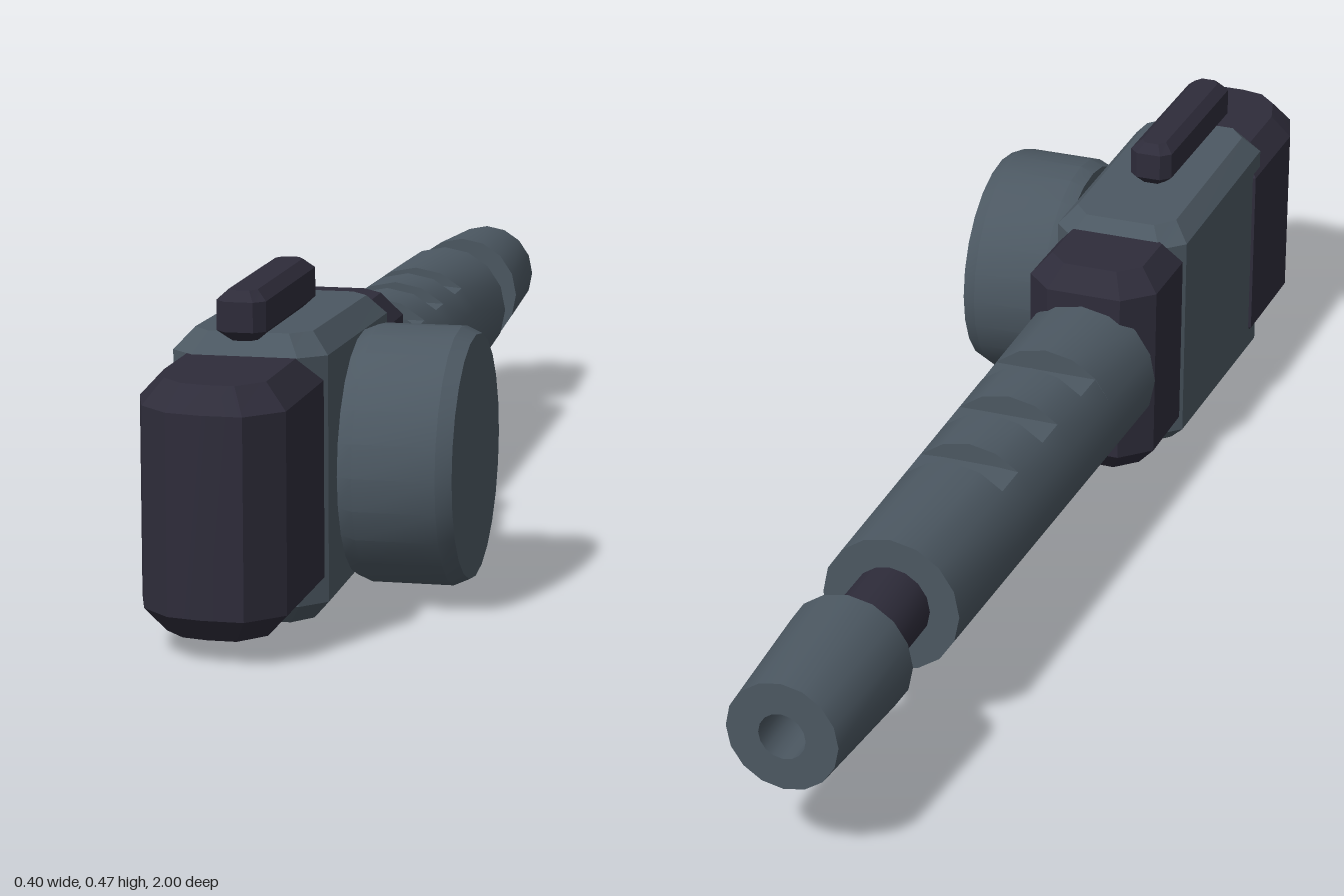
import * as THREE from 'three';
import { toCreasedNormals } from 'three/addons/utils/BufferGeometryUtils.js';

const AXIS_X = -0.08, AXIS_Y = 0.207, SIDES = 16;

// Skin over a list of rings (each counter-clockwise about the direction of travel), capped at both ends
function loft(rings) {
  const pos = [];
  const tri = (a, b, c) => {
    const area = b.clone().sub(a).cross(c.clone().sub(a)).length();
    if (area > 1e-8) pos.push(...a.toArray(), ...b.toArray(), ...c.toArray());
  };
  const n = rings[0].length;
  const centre = (r) => r.reduce((s, p) => s.add(p), new THREE.Vector3()).divideScalar(n);
  const first = rings[0], last = rings[rings.length - 1];
  const c0 = centre(first), c1 = centre(last);
  for (let i = 0; i < n; i++) {
    const j = (i + 1) % n;
    for (let k = 0; k < rings.length - 1; k++) {
      const a = rings[k], b = rings[k + 1];
      tri(a[i], a[j], b[j]);
      tri(a[i], b[j], b[i]);
    }
    tri(c0, first[j], first[i]);
    tri(c1, last[i], last[j]);
  }
  const g = new THREE.BufferGeometry();
  g.setAttribute('position', new THREE.Float32BufferAttribute(pos, 3));
  return g;
}

// Upright block from a plan outline [x, z], bevelled along its top and bottom edges
function bevelledBlock(outline, y0, y1, inset, rise) {
  const xs = outline.map((p) => p[0]), zs = outline.map((p) => p[1]);
  const x0 = Math.min(...xs), x1 = Math.max(...xs), z0 = Math.min(...zs), z1 = Math.max(...zs);
  const cx = (x0 + x1) / 2, cz = (z0 + z1) / 2;
  const ring = (y, i) => outline.map(([x, z]) => new THREE.Vector3(
    cx + (x - cx) * (1 - 2 * i / (x1 - x0)), y, cz + (z - cz) * (1 - 2 * i / (z1 - z0))));
  return loft([ring(y0, inset), ring(y0 + rise, 0), ring(y1 - rise, 0), ring(y1, inset)]);
}

// Rectangle with cut corners, front edge first
function cutRect(x0, x1, z0, z1, c) {
  return [[x0 + c, z1], [x1 - c, z1], [x1, z1 - c], [x1, z0 + c],
    [x1 - c, z0], [x0 + c, z0], [x0, z0 + c], [x0, z1 - c]];
}

function lathe(profile, sides) {
  return new THREE.LatheGeometry(profile.map(([r, y]) => new THREE.Vector2(r, y)), sides);
}

// Tapered round handle with flat-bottomed notches across the top
function handleGeometry() {
  const zBack = -0.62, zFront = 0.18;
  const ring = (z, cut) => {
    const r = THREE.MathUtils.mapLinear(z, zBack, zFront, 0.105, 0.118);
    return Array.from({ length: SIDES }, (_, i) => {
      const a = i / SIDES * Math.PI * 2;
      const y = Math.sin(a) * r;
      return new THREE.Vector3(AXIS_X + Math.cos(a) * r, AXIS_Y + (cut ? Math.min(y, 0.08) : y), z);
    });
  };
  const rings = [ring(zBack, false)];
  for (const z of [-0.38, -0.22, -0.06]) {
    rings.push(ring(z, false), ring(z, true), ring(z + 0.062, true), ring(z + 0.062, false));
  }
  rings.push(ring(zFront, false));
  return loft(rings);
}

export function createModel() {
  const model = new THREE.Group();
  const grey = new THREE.MeshStandardMaterial({ color: 0x4c5862 });
  grey.name = 'slate grey';
  const dark = new THREE.MeshStandardMaterial({ color: 0x2e2c3a });
  dark.name = 'dark violet grey';

  const add = (name, geometry, material, crease = 0.5) => {
    const mesh = new THREE.Mesh(toCreasedNormals(geometry, crease), material);
    mesh.name = name;
    model.add(mesh);
    return mesh;
  };

  // Main housing, slightly lower towards the back
  const body = bevelledBlock(cutRect(-0.19, 0.03, 0.312, 0.762, 0.035), 0, 0.41, 0.026, 0.03);
  const p = body.attributes.position;
  for (let i = 0; i < p.count; i++) {
    const t = (0.762 - p.getZ(i)) / 0.45;
    p.setY(i, 0.205 + (p.getY(i) - 0.205) * (1 - 0.05 * t));
  }
  add('body', body, grey, 0.2);

  // Dark nose with a rounded right corner and a cut left corner
  const nose = [[-0.13, 0.99], [-0.08, 1], [-0.022, 1], [0.025, 0.95],
    [0.025, 0.69], [-0.195, 0.69], [-0.195, 0.88], [-0.173, 0.95]];
  add('noseBlock', bevelledBlock(nose, 0.032, 0.38, 0.032, 0.035), dark, 0.2);

  // Dark collar between the housing and the handle
  add('rearCollar', bevelledBlock(cutRect(-0.188, 0.024, 0.163, 0.38, 0.045), 0.032, 0.38, 0.03, 0.035), dark, 0.2);

  // Side drum
  const drum = lathe([[0, 0], [0.176, 0], [0.185, 0.022], [0.185, 0.14], [0.175, 0.162], [0, 0.162]], 24);
  drum.rotateZ(-Math.PI / 2);
  add('sideDrum', drum, grey, 0.4).position.set(0.038, 0.205, 0.535);

  // Bar on top of the housing
  const bar = add('topBar', bevelledBlock(cutRect(-0.115, -0.045, 0.47, 0.79, 0.015), 0.404, 0.474, 0.015, 0.014), dark, 0.2);
  bar.updateMatrix();

  add('handle', handleGeometry(), grey);

  // Thin neck and hollow tip behind the handle
  const neck = lathe([[0, 0], [0.06, 0], [0.06, 0.19], [0, 0.19]], SIDES);
  neck.rotateX(-Math.PI / 2);
  add('neck', neck, dark).position.set(AXIS_X, AXIS_Y, -0.6);

  const tip = lathe([[0, 0], [0.096, 0], [0.083, 0.23], [0.035, 0.23], [0.035, 0.1], [0, 0.1]], SIDES);
  tip.rotateX(-Math.PI / 2);
  add('tip', tip, grey).position.set(AXIS_X, AXIS_Y, -0.77);

  return model;
}
